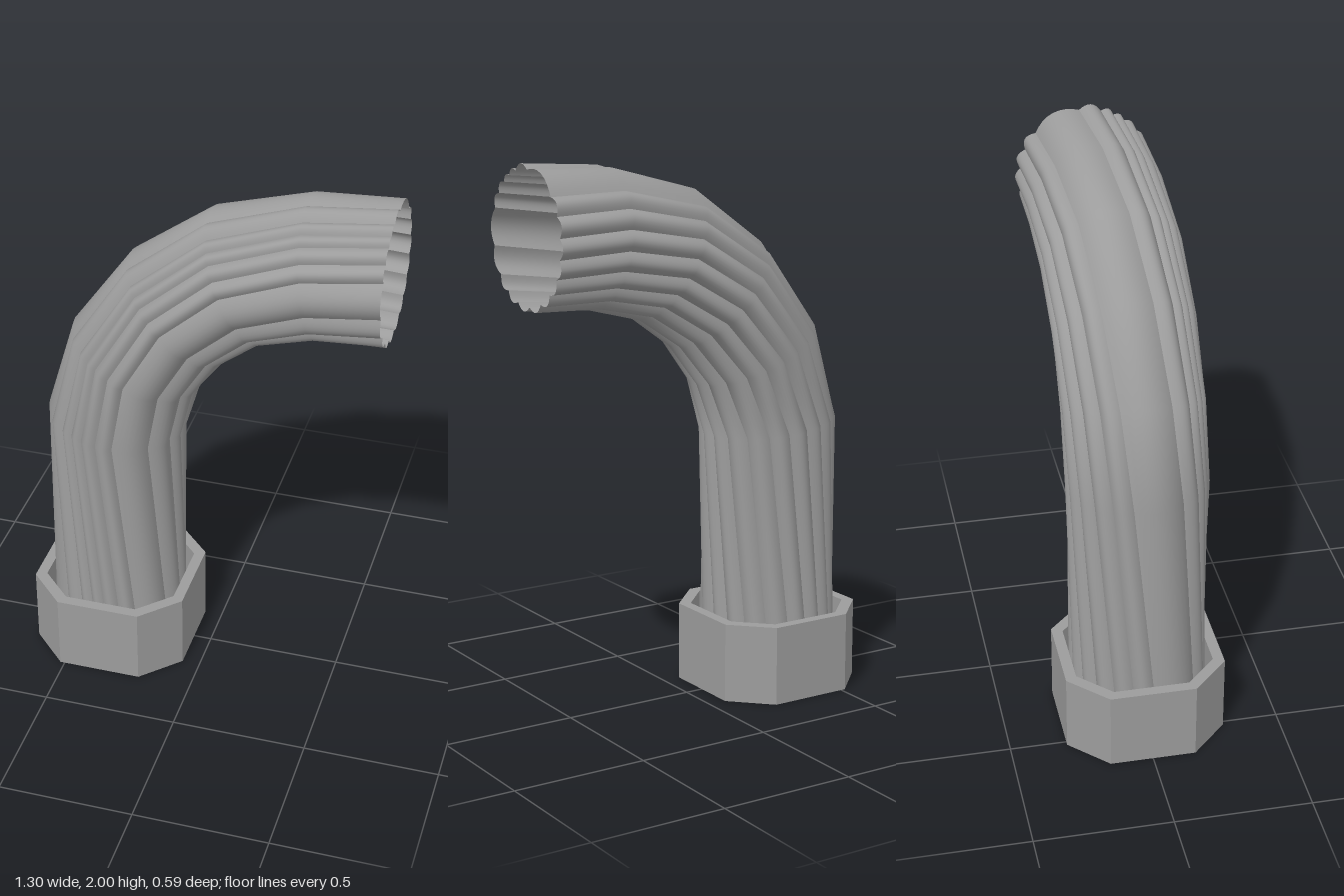
import * as THREE from 'three';
import { mergeGeometries } from 'three/addons/utils/BufferGeometryUtils.js';

const CX = -0.36; // axis of the upright end
const GREY = 0x9c9c9c;

// Octagon with equal bevelled corners: half width h, half flat f
function octagon(h, f, target) {
  const pts = [[h, -f], [h, f], [f, h], [-f, h], [-h, f], [-h, -f], [-f, -h], [f, -h]];
  pts.forEach(([x, y], i) => (i ? target.lineTo(x, y) : target.moveTo(x, y)));
  target.closePath();
  return target;
}

// Rings along the bend: centre x, centre y, tilt in degrees, length along the pipe
const RINGS = [
  [CX, 0.12, 0, 0],
  [-0.355, 1.0, 7, 0.88],
  [-0.275, 1.275, 25, 1.17],
  [-0.115, 1.5, 46, 1.44],
  [0.105, 1.66, 64.5, 1.71],
  [0.375, 1.735, 82, 2.0],
  [0.65, 1.75, 90, 2.27],
];
const STEPS = 8, RADIUS = 0.235, BUMP = 0.02, TWIST = 0.42;

// Flute widths in degrees around the open end, starting just below its front
const FLUTE_START = 78;
const FLUTES = [33, 15, 14, 11, 12, 20, 45, 18, 18, 18, 18, 18, 18, 20, 20, 18, 18, 26];

// One rounded flute, running the whole length and winding around the pipe
function fluteGeometry(start, width) {
  const pos = [], index = [];
  const bump = BUMP * Math.min(1, width / 16);
  const end = RINGS[RINGS.length - 1][3];
  for (const [cx, cy, deg, len] of RINGS) {
    const a = THREE.MathUtils.degToRad(deg);
    for (let i = 0; i <= STEPS; i++) {
      const t = i / STEPS;
      const th = THREE.MathUtils.degToRad(start + t * width) + (len - end) * TWIST;
      const r = RADIUS + bump * Math.sin(t * Math.PI);
      const n = r * Math.cos(th);
      pos.push(cx + n * Math.cos(a), cy - n * Math.sin(a), r * Math.sin(th));
    }
  }
  const w = STEPS + 1;
  for (let j = 0; j < RINGS.length - 1; j++) {
    for (let i = 0; i < STEPS; i++) {
      const p = j * w + i;
      index.push(p, p + w, p + 1, p + 1, p + w, p + w + 1);
    }
  }
  const g = new THREE.BufferGeometry();
  g.setAttribute('position', new THREE.Float32BufferAttribute(pos, 3));
  g.setIndex(index);
  g.computeVertexNormals();
  return g;
}

export function createModel() {
  const group = new THREE.Group();
  group.name = 'flutedPipe';

  // Hollow octagonal collar at the foot
  const shape = octagon(0.293, 0.157, new THREE.Shape());
  shape.holes.push(octagon(0.253, 0.137, new THREE.Path()));
  const collarGeo = new THREE.ExtrudeGeometry(shape, { depth: 0.295, bevelEnabled: false });
  collarGeo.rotateX(-Math.PI / 2);
  const collar = new THREE.Mesh(collarGeo, new THREE.MeshStandardMaterial({ color: GREY }));
  collar.name = 'collar';
  collar.position.x = CX;
  group.add(collar);

  // Open twisted pipe, creased between its uneven flutes
  let start = FLUTE_START;
  const flutes = FLUTES.map((width) => {
    const g = fluteGeometry(start, width);
    start += width;
    return g;
  });
  const pipe = new THREE.Mesh(
    mergeGeometries(flutes),
    new THREE.MeshStandardMaterial({ color: GREY, side: THREE.DoubleSide })
  );
  pipe.name = 'bentPipe';
  group.add(pipe);

  return group;
}
